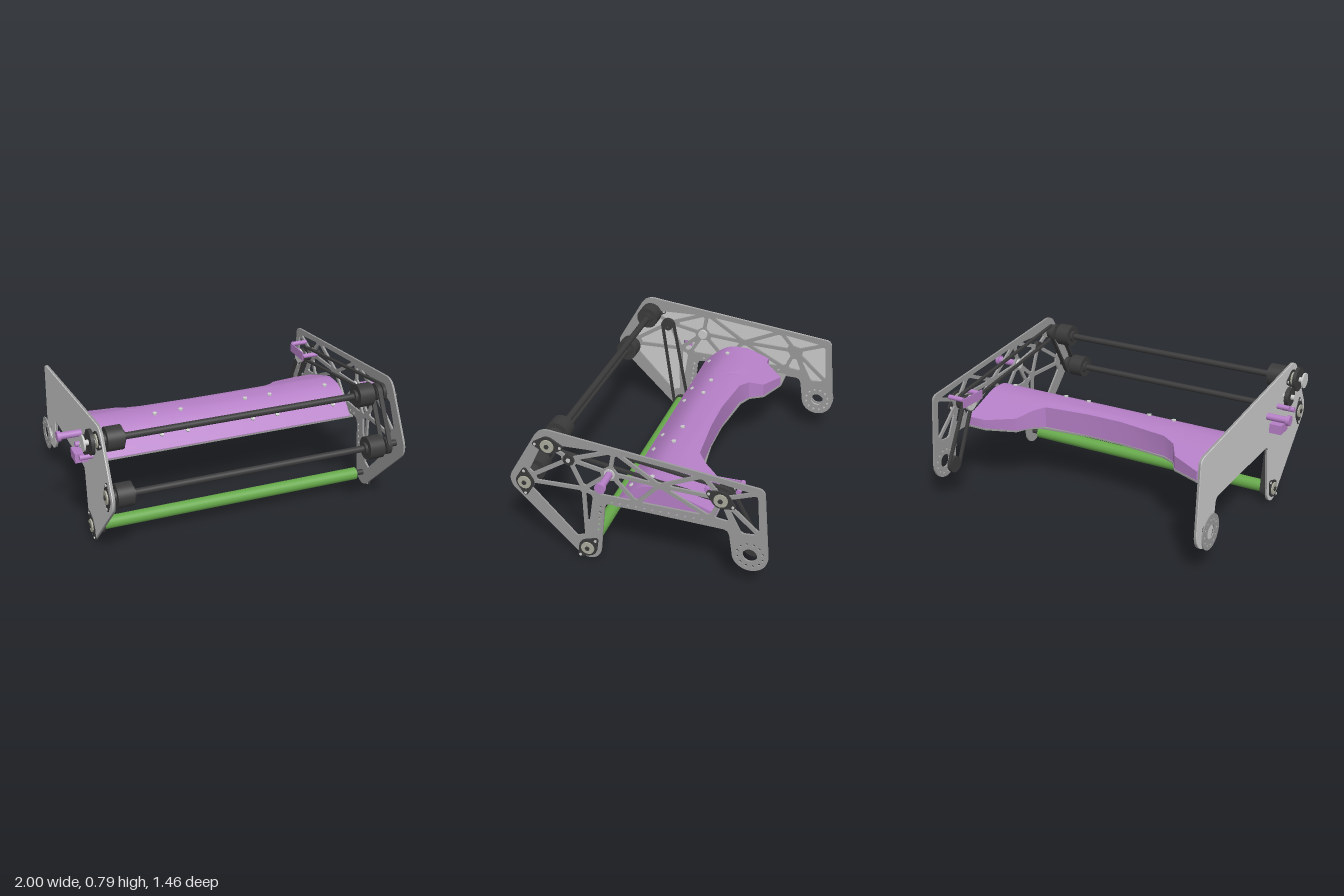
import * as THREE from 'three';
import { toCreasedNormals } from 'three/addons/utils/BufferGeometryUtils.js';

const mat = (color) => new THREE.MeshStandardMaterial({ color });
const light = mat(0xcccccc), plateMat = mat(0x999999), dark = mat(0x3a3a3a);
const purple = mat(0xb57fc6), green = mat(0x66a84a), bearingMat = mat(0xaaaa9c);
const rad = THREE.MathUtils.degToRad;

// Side-profile positions as [z, y]
const TOP = [0.49, 0.705], MID = [0.64, 0.445], LOW = [0.288, 0.075];
const IDLER = [0.375, 0.635], DRIVE = [-0.47, 0.56], LUG = [-0.63, 0.23], POST = [0.145, 0.59];

export function createModel() {
  const model = new THREE.Group();
  const add = (name, geometry, material) => {
    const mesh = new THREE.Mesh(geometry, material);
    mesh.name = name;
    model.add(mesh);
    return mesh;
  };

  // Cylinder lying along x
  const rod = (name, x0, x1, [z, y], r, material, sides = 32) => {
    const g = new THREE.CylinderGeometry(r, r, x1 - x0, sides).rotateZ(Math.PI / 2);
    return add(name, g.translate((x0 + x1) / 2, y, z), material);
  };
  // Side-profile shape (z, y) extruded from x0 to x1
  const slab = (name, shape, x0, x1, material) => {
    const g = new THREE.ExtrudeGeometry(shape, { depth: x1 - x0, bevelEnabled: false, curveSegments: 14 });
    return add(name, g.rotateY(-Math.PI / 2).translate(x1, 0, 0), material);
  };
  const box = (name, x0, x1, y0, y1, z0, z1, material) => add(name,
    new THREE.BoxGeometry(x1 - x0, y1 - y0, z1 - z0).translate((x0 + x1) / 2, (y0 + y1) / 2, (z0 + z1) / 2), material);

  const circle = ([z, y], r) => new THREE.Path().absarc(z, y, r, 0, Math.PI * 2, true);
  // Outline wrapped around two circles
  const wrap = (a, b, ra, rb, path) => {
    const dz = b[0] - a[0], dy = b[1] - a[1];
    const phi = Math.atan2(dy, dz), beta = Math.acos((ra - rb) / Math.hypot(dz, dy));
    path.absarc(a[0], a[1], ra, phi + beta, phi - beta + Math.PI * 2, false);
    path.absarc(b[0], b[1], rb, phi - beta, phi + beta, false);
    path.closePath();
    return path;
  };
  const belt = (name, x, w, a, b, ra, rb) => {
    const shape = wrap(a, b, ra, rb, new THREE.Shape());
    shape.holes.push(wrap(a, b, ra - 0.012, rb - 0.012, new THREE.Path()));
    slab(name, shape, x - w / 2, x + w / 2, dark);
    rod(name + 'Pulley', x - w * 0.6, x + w * 0.6, a, ra - 0.012, dark);
    rod(name + 'Pulley', x - w * 0.6, x + w * 0.6, b, rb - 0.012, dark);
  };

  // Side plate outline
  const plateShape = () => {
    const s = new THREE.Shape();
    const arc = (c, r, from, to) => s.absarc(c[0], c[1], r, rad(from), rad(to), false);
    arc(LOW, 0.075, 187, 317);
    arc(MID, 0.09, -43, 30);
    arc(TOP, 0.09, 30, 96);
    arc([-0.66, 0.625], 0.04, 96, 176);
    arc(LUG, 0.1, 176, 360);
    for (const p of [[-0.515, 0.34], [-0.505, 0.362], [-0.485, 0.37], [0.15, 0.39], [0.17, 0.385], [0.182, 0.365]]) s.lineTo(...p);
    s.closePath();
    s.holes.push(circle(LUG, 0.04));
    return s;
  };

  // Truss window: triangle inset by half a strut with its corners cut
  const nodes = {
    A: [0.53, 0.72], M: [0.66, 0.45], G: [0.293, 0.055], P: IDLER, S: POST, C: [0.3, 0.46], K: [0.235, 0.435],
    T: [0.12, 0.733], U: [-0.37, 0.68], X: [-0.13, 0.57], B: [0, 0.43], E: [-0.41, 0.425], N: DRIVE,
    R: [-0.672, 0.635], Q: [-0.69, 0.36], L: [-0.575, 0.35], H: [-0.53, 0.41],
  };
  const cut = { A: 0.05, M: 0.05, G: 0.07, N: 0.03, S: 0.03, P: 0.025 };
  const windowPath = (keys) => {
    const p = [...keys].map((k) => new THREE.Vector2(...nodes[k]));
    const len = p.map((_, i) => p[(i + 1) % 3].distanceTo(p[(i + 2) % 3]));
    const sum = len[0] + len[1] + len[2];
    const centre = new THREE.Vector2();
    p.forEach((v, i) => centre.addScaledVector(v, len[i] / sum));
    const area = Math.abs((p[1].clone().sub(p[0])).cross(p[2].clone().sub(p[0]))) / 2;
    const inset = 0.011 / (2 * area / sum);
    if (inset > 0.8) return null;
    const q = p.map((v) => v.clone().lerp(centre, inset));
    const pts = [];
    q.forEach((v, i) => {
      for (const j of [(i + 2) % 3, (i + 1) % 3]) {
        const d = v.distanceTo(q[j]);
        pts.push(v.clone().lerp(q[j], Math.min(0.4, (cut[keys[i]] ?? 0.012) / d)));
      }
    });
    return new THREE.Path(pts);
  };
  const truss = plateShape();
  for (const keys of ['AMP', 'MPC', 'MCG', 'CKG', 'PSC', 'SKC', 'APT', 'PST', 'STX', 'TUX', 'UNX', 'XNE', 'SKB',
    'SBX', 'XBE', 'URN', 'NRQ', 'NQL', 'NLH', 'NHE']) {
    const path = windowPath(keys);
    if (path) truss.holes.push(path);
  }
  // Rows of bolt holes
  for (let i = 0; i < 12; i++) {
    const a = (i + 0.5) * Math.PI / 6;
    truss.holes.push(circle([LUG[0] + 0.072 * Math.cos(a), LUG[1] + 0.072 * Math.sin(a)], 0.008));
    truss.holes.push(circle([0.14 - i * 0.046, 0.408], 0.008));
  }
  for (let i = 0; i < 5; i++) truss.holes.push(circle([0.205 + i * 0.005, 0.36 - i * 0.038], 0.008));

  slab('rightTrussPlate', truss, 0.842, 0.854, plateMat);
  slab('leftTrussPlate', truss, -0.857, -0.845, plateMat);
  const backing = plateShape();
  backing.holes.push(new THREE.Path([[0.22, 0.48], [0.28, 0.48], [0.28, 0.52], [0.22, 0.52]].map((p) => new THREE.Vector2(...p))));
  slab('leftBackingPanel', backing, -0.862, -0.8565, light);

  // Drilled ring outside the left lug
  const ring = new THREE.Shape().absarc(LUG[0], LUG[1], 0.1, 0, Math.PI * 2, false);
  ring.holes.push(circle(LUG, 0.04));
  for (let i = 0; i < 12; i++) ring.holes.push(circle([LUG[0] + 0.072 * Math.cos(i * Math.PI / 6), LUG[1] + 0.072 * Math.sin(i * Math.PI / 6)], 0.008));
  slab('lugRing', ring, -0.894, -0.888, plateMat);

  // Roller shafts with wheels
  for (const c of [TOP, MID]) {
    rod('rollerShaft', -0.87, 0.87, c, 0.019, dark);
    for (const x of [-0.775, 0.695]) {
      rod('rollerWheel', x - 0.045, x + 0.045, c, 0.067, dark, 40);
      rod('wheelHub', x - 0.06, x + 0.06, c, 0.035, dark);
    }
  }
  rod('greenRoller', -0.8, 0.79, LOW, 0.037, green, 40);
  rod('greenRollerAxle', -0.87, 0.87, LOW, 0.017, dark);

  // Flanged bearings on the outside of the plates
  const flange = (side, c, angle, both) => {
    const x = side * 0.861, d = [Math.cos(rad(angle)) * 0.072, Math.sin(rad(angle)) * 0.072];
    for (const s of [1, -1]) {
      const ear = [c[0] + s * d[0], c[1] + s * d[1]];
      slab('bearingFlange', wrap(c, ear, 0.052, 0.014, new THREE.Shape()), x - 0.006, x + 0.006, dark);
      rod('flangeBolt', x - 0.01, x + 0.01, ear, 0.008, light, 12);
    }
    rod('bearing', x - 0.014, x + 0.014, c, 0.038, bearingMat);
    rod('bearingBolt', x - 0.02, x + 0.02, c, 0.014, dark, 6);
  };
  for (const side of [1, -1]) {
    flange(side, TOP, 0);
    flange(side, MID, 90);
    flange(side, LOW, -50);
  }
  flange(1, DRIVE, 25);
  rod('idlerBearing', 0.835, 0.862, IDLER, 0.033, dark);
  rod('idlerBolt', 0.86, 0.868, IDLER, 0.012, light, 12);

  // Drive belts
  belt('rollerBelt', 0.78, 0.025, TOP, MID, 0.055, 0.055);
  belt('longBelt', 0.815, 0.02, TOP, DRIVE, 0.05, 0.05);
  belt('rearBelt', 0.775, 0.02, DRIVE, LUG, 0.045, 0.055);
  belt('greenRollerBelt', -0.815, 0.025, LOW, IDLER, 0.055, 0.045);
  rod('driveAxle', 0.74, 0.87, DRIVE, 0.018, light);
  rod('driveHub', 0.745, 0.765, DRIVE, 0.045, light);
  rod('idlerAxle', -0.93, -0.8, IDLER, 0.015, light);

  // Outer gears on the left side
  rod('largeGear', -0.91, -0.89, TOP, 0.07, dark, 28);
  rod('smallGear', -0.91, -0.885, IDLER, 0.055, dark, 20);
  rod('gearAxle', -0.94, -0.85, TOP, 0.015, light);
  rod('gearCap', -0.945, -0.935, TOP, 0.045, light);
  box('motorMount', -0.935, -0.862, 0.475, 0.53, 0.18, 0.275, purple);
  rod('gearStandoff', -0.935, -0.862, [0.375, 0.56], 0.015, purple);
  rod('gearStandoff', -0.935, -0.862, [0.29, 0.6], 0.015, purple);

  // Purple side posts and rear standoffs
  for (const s of [1, -1]) {
    const span = (a, b) => [Math.min(s * a, s * b), Math.max(s * a, s * b)];
    rod('sidePost', ...span(0.855, 0.985), POST, 0.02, purple);
    rod('sidePostCap', ...span(0.98, 1), POST, 0.03, purple);
    rod('sidePostBolt', ...span(0.83, 0.86), POST, 0.03, light);
  }
  for (const c of [[-0.555, 0.61], [-0.385, 0.59]]) rod('rearStandoff', 0.74, 0.842, c, 0.014, purple);
  box('standoffBracket', 0.735, 0.742, 0.56, 0.615, -0.56, -0.38, purple);

  // Curved deck: cross-sections swept along x, with the rear edge cut by station
  const rear = [[-0.845, -0.3], [-0.785, -0.3], [-0.7, -0.415], [-0.53, -0.345], [-0.48, -0.265], [-0.4, -0.225], [-0.1, -0.197],
    [0.12, -0.197], [0.4, -0.215], [0.46, -0.265], [0.52, -0.35], [0.7, -0.415], [0.82, -0.415]];
  const topY = (z) => z > -0.08 ? 0.39 + 0.143 * Math.sin((0.13 - z) / 0.21 * Math.PI / 2)
    : z > -0.16 ? 0.533 : 0.533 - 0.095 * ((-0.16 - z) / 0.26);
  const N = 18, loop = N + 3, pos = [], idx = [];
  for (const [x, zr] of rear) {
    for (let j = 0; j <= N; j++) {
      const z = 0.13 + (zr - 0.13) * j / N;
      pos.push(x, topY(z), z);
    }
    pos.push(x, 0.386, zr, x, 0.386, 0.13);
  }
  for (let i = 0; i < rear.length - 1; i++) {
    for (let j = 0; j < loop; j++) {
      const a = i * loop + j, b = i * loop + (j + 1) % loop;
      idx.push(a, a + loop, b, b, a + loop, b + loop);
    }
  }
  const last = (rear.length - 1) * loop;
  for (let j = 0; j < loop - 2; j++) {
    idx.push(loop - 1, j, j + 1);
    idx.push(last + loop - 1, last + j + 1, last + j);
  }
  const deck = new THREE.BufferGeometry();
  deck.setAttribute('position', new THREE.Float32BufferAttribute(pos, 3));
  deck.setIndex(idx);
  add('deck', toCreasedNormals(deck, 0.5), purple);

  // Flat sheet beneath the deck
  const sheet = new THREE.Shape([[-0.845, 0.13], [0.842, 0.13], [0.842, -0.42], [0.7, -0.42], [0.52, -0.352], [0.48, -0.27], [0.42, -0.235],
    [0.12, -0.2], [-0.1, -0.2], [-0.4, -0.235], [-0.48, -0.27], [-0.53, -0.35], [-0.7, -0.42], [-0.845, -0.42]]
    .map(([x, z]) => new THREE.Vector2(x, z)));
  add('deckSheet', new THREE.ExtrudeGeometry(sheet, { depth: 0.01, bevelEnabled: false }).rotateX(Math.PI / 2).translate(0, 0.386, 0), plateMat);

  // Deck screws
  for (const x of [-0.74, -0.37, -0.21, 0.2, 0.36, 0.73]) {
    for (const z of [-0.05, 0.07]) {
      const screw = add('deckScrew', new THREE.CylinderGeometry(0.013, 0.013, 0.016, 12), light);
      screw.position.set(x, topY(z), z);
      screw.rotation.x = z > 0 ? 0.6 : 0.1;
    }
  }
  return model;
}
